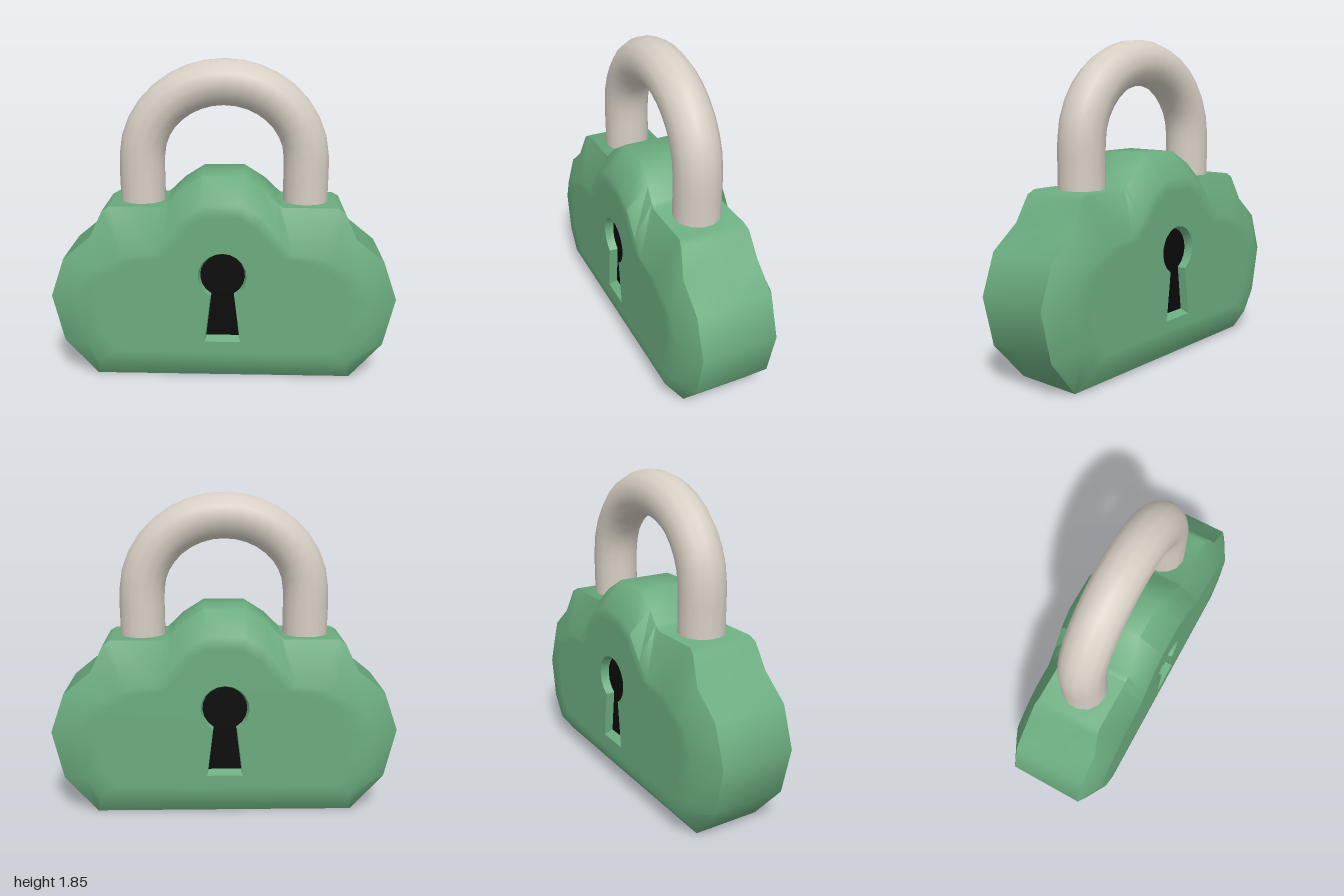
import * as THREE from 'three';
import { mergeGeometries, toCreasedNormals } from 'three/addons/utils/BufferGeometryUtils.js';

const material = (name, color) => Object.assign(new THREE.MeshStandardMaterial({ color }), { name });

// Right half of the body: outer edge x, y, z, then matching edge of the flat face x, y
const SECTION = [
  [0.75, 0, 0.2, 0.72, 0.13],
  [0.935, 0.22, 0.22, 0.81, 0.26],
  [1, 0.5, 0.22, 0.85, 0.5],
  [0.92, 0.73, 0.22, 0.8, 0.64],
  [0.76, 0.86, 0.22, 0.69, 0.71],
  [0.69, 1.01, 0.2, 0.61, 0.75],
  [0.65, 1.035, 0.19, 0.56, 0.77],
  [0.34, 1.035, 0.19, 0.4, 0.79],
  [0.31, 1.06, 0.19, 0.32, 0.87],
  [0.24, 1.13, 0.18, 0.22, 1.0],
  [0.12, 1.21, 0.16, 0.11, 1.07],
];
const FACE_Z = 0.3, KEY_Z = 0.25;

const mirrorLoop = (half) => [...half, ...half.slice().reverse().map(([x, y, z]) => [-x, y, z])];
const scaleLoop = (loop, s, cy, z) => loop.map(([x, y]) => [x * s, cy + (y - cy) * s, z]);
const toShape = (loop) => new THREE.Shape(loop.map(([x, y]) => new THREE.Vector2(x, y)));

// Band of quads between an inner loop and an outer loop, both counter-clockwise
function band(inner, outer) {
  const p = [];
  inner.forEach((a, i) => {
    const j = (i + 1) % inner.length;
    p.push(...a, ...outer[i], ...outer[j], ...a, ...outer[j], ...inner[j]);
  });
  const g = new THREE.BufferGeometry();
  g.setAttribute('position', new THREE.Float32BufferAttribute(p, 3));
  return g;
}

function keyholeLoop() {
  const loop = [[-0.095, 0.28, KEY_Z], [0.095, 0.28, KEY_Z]];
  for (let i = 0; i <= 16; i++) {
    const a = THREE.MathUtils.degToRad(-60 + (300 * i) / 16);
    loop.push([0.128 * Math.cos(a), 0.65 + 0.128 * Math.sin(a), KEY_Z]);
  }
  return loop;
}

function bodyGeometry(keyIn) {
  const rim = mirrorLoop(SECTION.map(([x, y, z]) => [x, y, z]));
  const middle = rim.map(([x, y]) => [x, y, 0]);
  const edge = mirrorLoop(SECTION.map((s) => [s[3], s[4], FACE_Z]));
  const panel = scaleLoop(edge, 0.86, 0.6, FACE_Z);
  const keyOut = scaleLoop(keyIn, 1.08, 0.56, FACE_Z);

  // Flat panel with the keyhole cut out
  const shape = toShape(panel);
  shape.holes.push(toShape(keyOut));
  const face = new THREE.ShapeGeometry(shape).translate(0, 0, FACE_Z).toNonIndexed();
  face.deleteAttribute('uv');
  face.deleteAttribute('normal');

  const front = mergeGeometries([
    band(keyIn, keyOut), face, band(panel, edge), band(edge, rim), band(rim, middle),
  ]);
  // The back is the front turned half round
  const back = front.clone().scale(-1, 1, -1);
  return toCreasedNormals(mergeGeometries([front, back]), 0.9);
}

function shackleGeometry() {
  const points = [[0.475, 0.95], [0.475, 1.12]];
  for (let i = 0; i <= 12; i++) {
    const a = (Math.PI * i) / 12;
    points.push([0.475 * Math.cos(a), 1.28 + 0.44 * Math.sin(a)]);
  }
  points.push([-0.475, 1.12], [-0.475, 0.95]);
  const path = new THREE.CatmullRomCurve3(points.map(([x, y]) => new THREE.Vector3(x, y, 0)));
  return new THREE.TubeGeometry(path, 24, 0.132, 14, false);
}

export function createModel() {
  const green = material('green body', 0x6bac7f);
  const metal = material('pale metal', 0xd6cec3);
  const black = material('keyhole black', 0x0b0b0b);
  const model = new THREE.Group();
  model.name = 'padlock';
  const add = (name, geometry, mat) => {
    const mesh = new THREE.Mesh(geometry, mat);
    mesh.name = name;
    model.add(mesh);
    return mesh;
  };

  const keyIn = keyholeLoop();
  add('body', bodyGeometry(keyIn), green);
  add('shackle', shackleGeometry(), metal);

  // Dark floor of the keyhole on both faces
  const keyFloor = new THREE.ShapeGeometry(toShape(keyIn)).translate(0, 0, KEY_Z);
  add('frontKeyhole', keyFloor, black);
  add('backKeyhole', keyFloor, black).rotation.y = Math.PI;
  return model;
}
